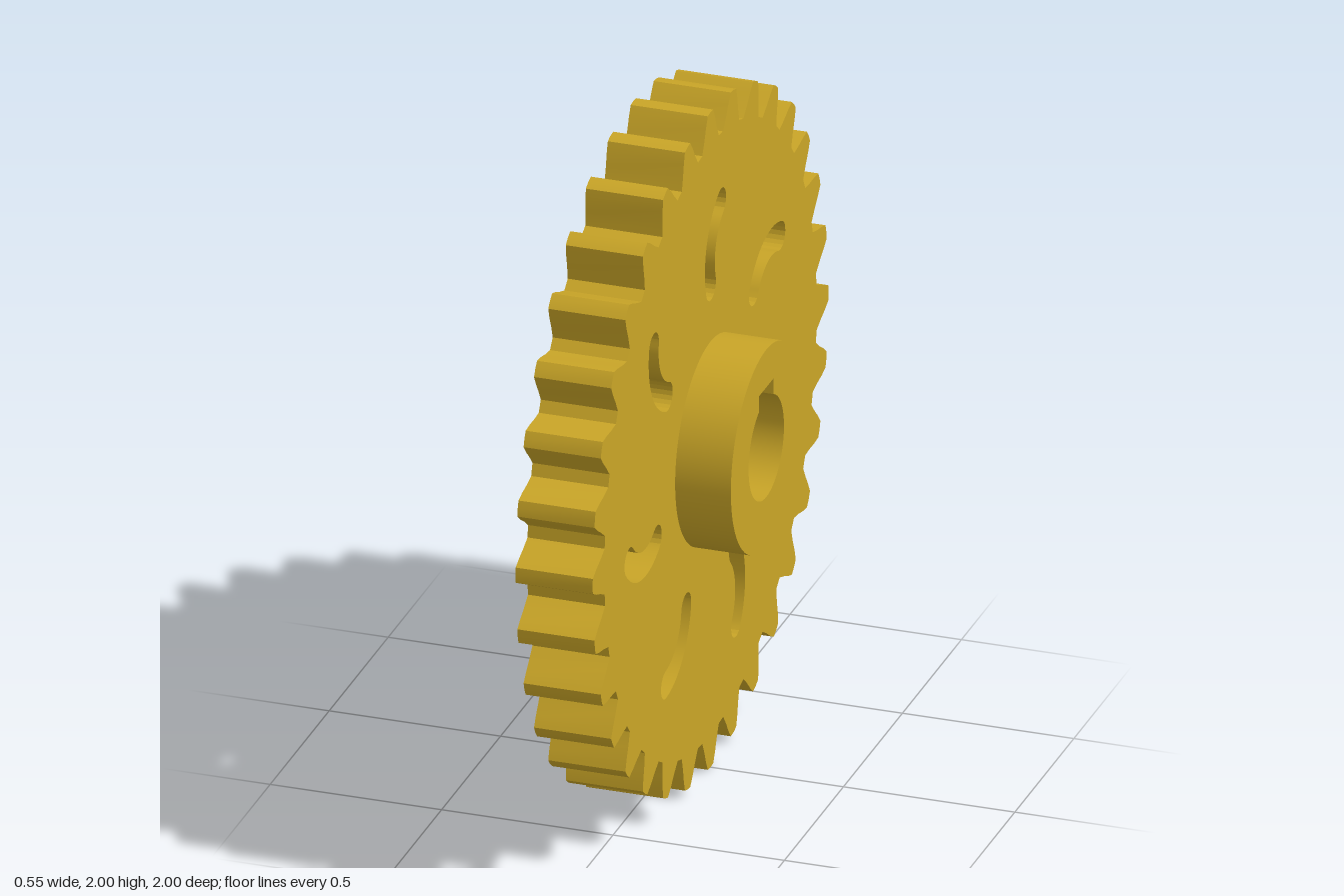
import * as THREE from 'three';
import { toCreasedNormals } from 'three/addons/utils/BufferGeometryUtils.js';

const TEETH = 32, SLOTS = 7;
const HALF_WIDTH = 0.1125, HALF_HUB = 0.275, RECESS = 0.05;
const R_RECESS = 0.825, R_COLLAR = 0.36, R_HUB = 0.3, R_BORE = 0.15;

// Points along an arc; both ends included
function arc(cx, cy, r, a0, a1, n) {
  return Array.from({ length: n + 1 }, (_, i) => {
    const a = a0 + ((a1 - a0) * i) / n;
    return new THREE.Vector2(cx + r * Math.cos(a), cy + r * Math.sin(a));
  });
}

const circle = (r) => arc(0, 0, r, 0, Math.PI * 2, 96).slice(0, -1);

// Tooth flanks as radius and half width, repeated around the wheel
function toothedOutline() {
  const flank = [[0.9, 0.07], [0.935, 0.052], [0.97, 0.038], [0.998, 0.023]];
  const profile = [
    ...flank.map(([r, w]) => [r, w]),
    [1, 0],
    ...flank.map(([r, w]) => [r, -w]).reverse(),
  ];
  const points = [];
  for (let i = 0; i < TEETH; i++) {
    const mid = Math.PI / 2 + (i * Math.PI * 2) / TEETH;
    for (const [r, w] of profile) {
      const a = mid - Math.asin(w / r);
      points.push(new THREE.Vector2(r * Math.cos(a), r * Math.sin(a)));
    }
  }
  return points;
}

// Curved slot with round ends, turned clockwise about the axle
function slotOutline(turn) {
  const R = 0.181, h = 0.042, a0 = 2.06, a1 = 3.47;
  const c = new THREE.Vector2(0.175, 0.525).rotateAround(new THREE.Vector2(), -turn);
  const s = a0 - turn, e = a1 - turn;
  const cap = (a, from) =>
    arc(c.x + R * Math.cos(a), c.y + R * Math.sin(a), h, from, from + Math.PI, 10).slice(1, -1);
  return [
    ...arc(c.x, c.y, R + h, s, e, 18),
    ...cap(e, e),
    ...arc(c.x, c.y, R - h, e, s, 18),
    ...cap(s, s + Math.PI),
  ];
}

// Bore with a square keyway at the top
function boreOutline() {
  const w = 0.06, top = 0.185, a = Math.acos(w / R_BORE);
  return [
    ...arc(0, 0, R_BORE, Math.PI - a, Math.PI * 2 + a, 72),
    new THREE.Vector2(w, top),
    new THREE.Vector2(-w, top),
  ];
}

export function createModel() {
  const group = new THREE.Group();
  group.name = 'spurGear';
  const material = new THREE.MeshStandardMaterial({ color: 0xc9a527 });

  // Extrudes an outline with holes along the axle, from x0 to x1
  function addPart(name, outline, holes, x0, x1) {
    const shape = new THREE.Shape(outline);
    shape.holes = holes.map((points) => new THREE.Path(points));
    const geometry = new THREE.ExtrudeGeometry(shape, { depth: x1 - x0, bevelEnabled: false });
    geometry.translate(0, 0, x0);
    geometry.rotateY(Math.PI / 2);
    geometry.translate(0, 1, 0);
    const mesh = new THREE.Mesh(toCreasedNormals(geometry, 0.3), material);
    mesh.name = name;
    group.add(mesh);
  }

  const slots = Array.from({ length: SLOTS }, (_, i) => slotOutline((i * Math.PI * 2) / SLOTS));

  // Nested rings; the web is recessed on the right side (-x) only
  addPart('toothedRim', toothedOutline(), [circle(R_RECESS)], -HALF_WIDTH, HALF_WIDTH);
  addPart('slottedWeb', circle(R_RECESS), [circle(R_COLLAR), ...slots], -HALF_WIDTH + RECESS, HALF_WIDTH);
  addPart('collar', circle(R_COLLAR), [circle(R_HUB)], -HALF_WIDTH, HALF_WIDTH);
  addPart('hub', circle(R_HUB), [boreOutline()], -HALF_HUB, HALF_HUB);

  return group;
}
